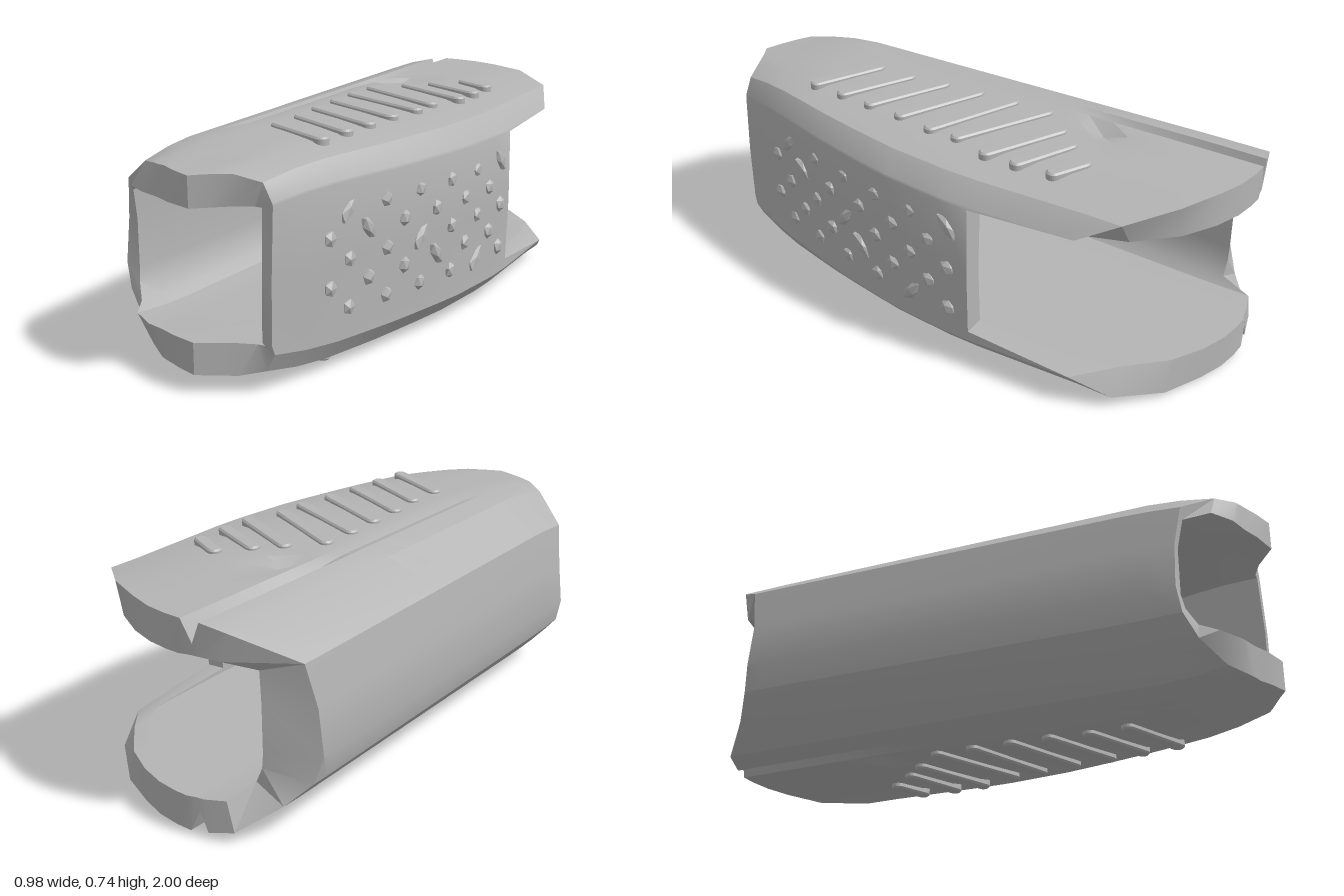
import * as THREE from 'three';
import { toCreasedNormals } from 'three/addons/utils/BufferGeometryUtils.js';

// piecewise linear lookup through [input, output] pairs in rising order
function lerpTable(table, v) {
  if (v <= table[0][0]) return table[0][1];
  for (let i = 1; i < table.length; i++) {
    const [a, p] = table[i - 1], [b, q] = table[i];
    if (v <= b) return p + (q - p) * (v - a) / (b - a);
  }
  return table[table.length - 1][1];
}

// how the right edge, left edge and height change along z
const rightEdge = z => lerpTable([[-0.65, 0.455], [-0.2, 0.478], [0.1, 0.45], [0.4, 0.385],
  [0.7, 0.3], [0.85, 0.25], [1, 0.2]], z);
const leftScale = z => lerpTable([[-0.77, 1.01], [0.78, 0.885]], z);
const innerLeftScale = z => lerpTable([[-0.8, 1], [0.8, 1.2]], z);
const heightScale = z => lerpTable([[0.65, 1], [0.78, 0.97], [0.88, 0.91], [1, 0.88]], z);

// columns around the shell: outer x, y, inner x, y, front z, rear z, groove kind
const CUT = -0.27;
const SIDE = [
  [0.473, 0.15, 0.40, 0.155, 0.91, CUT],
  [0.48, 0.38, 0.41, 0.38, 0.91, CUT],
  [0.478, 0.63, 0.40, 0.612, 0.90, CUT],
];
const TOP = [
  [0.474, 0.64, 0.40, 0.62, 0.90, -0.65],
  [0.41, 0.705, 0.35, 0.62, 0.90, -0.78],
  [0.25, 0.732, 0.22, 0.62, 0.93, -0.90],
  [0.10, 0.735, 0.10, 0.62, 0.97, -0.96],
  [0.00, 0.735, 0.00, 0.62, 1.00, -0.99],
  [-0.08, 0.735, -0.08, 0.62, 0.975, -1.00, 'pit'],
  [-0.14, 0.735, -0.13, 0.62, 0.95, -1.00],
  [-0.175, 0.732, -0.16, 0.62, 0.94, -0.99, 'slot'],
  [-0.20, 0.73, -0.19, 0.62, 0.93, -0.985],
  [-0.285, 0.71, -0.26, 0.613, 0.88, -0.96],
];
const LEFT = [
  [-0.44, 0.60, -0.31, 0.56, 0.80, -0.80],
  [-0.465, 0.45, -0.315, 0.45, 0.78, -0.77],
  [-0.485, 0.29, -0.315, 0.28, 0.78, -0.77],
  [-0.46, 0.20, -0.31, 0.23, 0.79, -0.79],
  [-0.39, 0.125, -0.285, 0.175, 0.82, -0.85],
];
// the underside repeats the top, upside down
const BOTTOM = TOP.map(([x, y, ix, iy, f, r, kind]) => [x, 0.755 - y, ix, 0.76 - iy, f, r, kind]).reverse();

function grooveDepth(kind, z) {
  if (kind === 'slot') return lerpTable([[-1, 0.075], [-0.4, 0.02], [-0.3, 0.006], [0.5, 0.006], [0.6, 0]], z);
  if (kind === 'pit') return lerpTable([[-0.55, 0], [-0.5, 0.05], [-0.36, 0]], z);
  return 0;
}

// closed hollow shell: each column runs back along the outside and forward along the inside
function shellGeometry() {
  const columns = [...SIDE, ...TOP, ...LEFT, ...BOTTOM];
  const frontRows = 10, rows = 18, positions = [], index = [], loop = 2 * (rows + 1);
  for (const [x, y, ix, iy, front, rear, kind] of columns) {
    const innerRear = ix < -0.3 ? -0.85 : rear;
    for (let j = 0; j < loop; j++) {
      const inside = j > rows;
      const row = inside ? loop - 1 - j : j;
      const end = inside ? innerRear : rear;
      const z = row <= frontRows ? front + (CUT - front) * row / frontRows
        : CUT + (end - CUT) * (row - frontRows) / (rows - frontRows);
      const px = inside ? ix : x;
      let py = inside ? iy : y;
      if (!inside) py -= Math.sign(py - 0.375) * grooveDepth(kind, z);
      const sx = px > 0 ? rightEdge(z) / 0.48 : inside ? innerLeftScale(z) : leftScale(z);
      positions.push(px * sx, 0.375 + (py - 0.375) * heightScale(z), z);
    }
  }
  const n = columns.length;
  for (let k = 0; k < n; k++) for (let j = 0; j < loop; j++) {
    const k2 = (k + 1) % n, j2 = (j + 1) % loop;
    const a = k * loop + j, b = k * loop + j2, c = k2 * loop + j, d = k2 * loop + j2;
    index.push(a, b, c, b, d, c);
  }
  const geometry = new THREE.BufferGeometry();
  geometry.setAttribute('position', new THREE.Float32BufferAttribute(positions, 3));
  geometry.setIndex(index);
  return toCreasedNormals(geometry, 0.4);
}

// low rounded bar lying flat
function ribGeometry(length, radius, height) {
  const s = new THREE.Shape();
  const h = length / 2 - radius;
  s.absarc(h, 0, radius, -Math.PI / 2, Math.PI / 2, false);
  s.absarc(-h, 0, radius, Math.PI / 2, Math.PI * 1.5, false);
  const g = new THREE.ExtrudeGeometry(s, { depth: height - 0.006, curveSegments: 6,
    bevelEnabled: true, bevelThickness: 0.006, bevelSize: 0.006, bevelOffset: -0.006, bevelSegments: 1 });
  return g.rotateX(-Math.PI / 2);
}

export function createModel() {
  const model = new THREE.Group();
  const grey = new THREE.MeshStandardMaterial({ color: 0xb4b4b4 });
  grey.name = 'plain grey';
  const add = (name, geometry, parent = model) => {
    const mesh = new THREE.Mesh(geometry, grey);
    mesh.name = name;
    parent.add(mesh);
    return mesh;
  };
  add('shell', shellGeometry());

  // grip ribs on the top and the underside: x1, z1, x2, z2
  const ribs = [
    [0.15, -0.53, 0.30, -0.46], [0.07, -0.43, 0.31, -0.33], [0.00, -0.35, 0.31, -0.21],
    [-0.09, -0.24, 0.27, -0.07], [-0.09, -0.10, 0.27, 0.04], [-0.08, 0.04, 0.25, 0.18],
    [-0.07, 0.18, 0.24, 0.32], [-0.05, 0.32, 0.23, 0.45], [-0.05, 0.46, 0.22, 0.58],
  ];
  for (const side of ['top', 'bottom']) {
    const group = new THREE.Group();
    group.name = side + 'Ribs';
    model.add(group);
    const up = side === 'top';
    for (const [x1, z1, x2, z2] of ribs) {
      const rib = add(side + 'Rib', ribGeometry(Math.hypot(x2 - x1, z2 - z1), 0.025, 0.03), group);
      rib.position.set((x1 + x2) / 2, up ? 0.717 : 0.033, (z1 + z2) / 2);
      rib.rotation.set(up ? 0 : Math.PI, -Math.atan2(z2 - z1, x2 - x1), 0, 'YXZ');
    }
  }

  // staggered faceted studs on the side wall, some stretched into shards
  const studs = new THREE.Group();
  studs.name = 'gripStuds';
  model.add(studs);
  const studGeometry = new THREE.IcosahedronGeometry(1, 0);
  for (let row = 0; row < 5; row++) {
    const offset = row % 2;
    for (let i = 0; i < 6; i++) {
      const z = (offset ? 0.69 : 0.61) - 0.16 * i;
      const y = 0.54 - 0.08 * row;
      const shard = (i * 3 + row * 2) % 5 === 0;
      const stud = add('stud', studGeometry, studs);
      stud.position.set(rightEdge(z) - (Math.abs(y - 0.38) > 0.1 ? 0.008 : 0.004), y, z);
      stud.scale.set(0.018, shard ? 0.06 : 0.03, shard ? 0.025 : 0.03);
      stud.rotation.set(shard ? (i % 2 ? 0.7 : -0.7) : 0.4 * i, 0, 0);
    }
  }

  // forward-facing ledge inside the side wall at its cut-out
  const ledge = add('innerLedge', new THREE.PlaneGeometry(0.31, 0.45));
  ledge.position.set(0.25, 0.38, CUT);
  return model;
}
